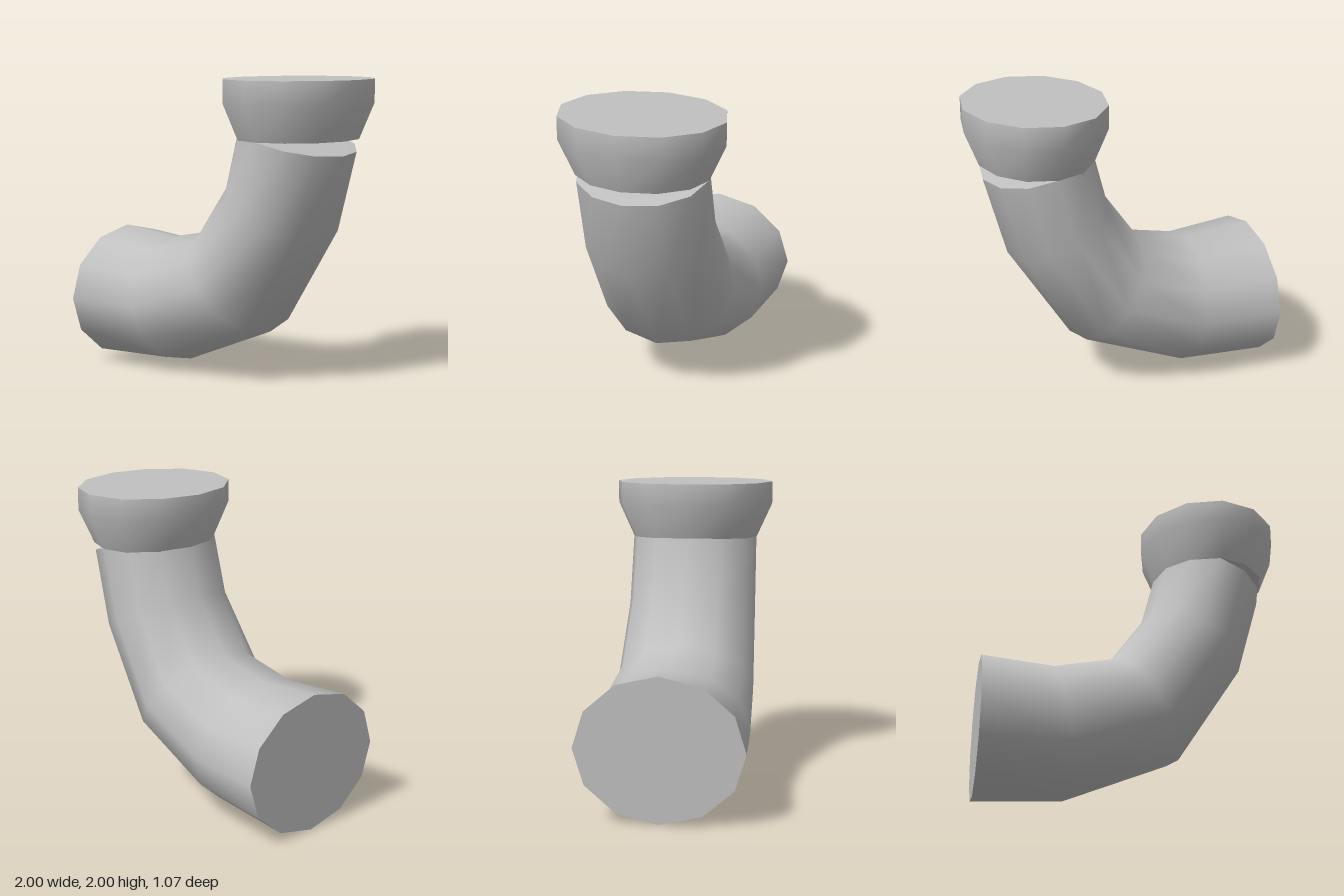
import * as THREE from 'three';

const SIDES = 12;

// Ring given by its outer, middle and inner points in the xy plane and its half depth in z
function ringPoints({ outer, inner, mid, depth }) {
  const m = mid ?? [(outer[0] + inner[0]) / 2, (outer[1] + inner[1]) / 2];
  const points = [];
  for (let k = 0; k < SIDES; k++) {
    const t = (k / SIDES) * Math.PI * 2;
    const c = Math.cos(t);
    const end = c > 0 ? outer : inner;
    points.push([
      m[0] + Math.abs(c) * (end[0] - m[0]),
      m[1] + Math.abs(c) * (end[1] - m[1]),
      depth * Math.sin(t),
    ]);
  }
  return { points, centre: [m[0], m[1], 0] };
}

function makeMesh(name, positions, index, material) {
  const geometry = new THREE.BufferGeometry();
  geometry.setAttribute('position', new THREE.Float32BufferAttribute(positions.flat(), 3));
  geometry.setIndex(index);
  geometry.computeVertexNormals();
  const mesh = new THREE.Mesh(geometry, material);
  mesh.name = name;
  return mesh;
}

// Smooth wall through the rings, closed by a separate cap at each end
function loft(name, specs, material) {
  const rings = specs.map(ringPoints);
  const group = new THREE.Group();
  group.name = name;

  const wall = [];
  for (let r = 0; r < rings.length - 1; r++) {
    for (let k = 0; k < SIDES; k++) {
      const n = (k + 1) % SIDES;
      const a = r * SIDES + k, b = r * SIDES + n;
      const c = a + SIDES, d = b + SIDES;
      wall.push(a, c, b, b, c, d);
    }
  }
  group.add(makeMesh(name + 'Wall', rings.flatMap((r) => r.points), wall, material));

  const cap = (capName, ring, flip) => {
    const index = [];
    for (let k = 0; k < SIDES; k++) {
      const a = k + 1, b = ((k + 1) % SIDES) + 1;
      index.push(0, flip ? b : a, flip ? a : b);
    }
    group.add(makeMesh(capName, [ring.centre, ...ring.points], index, material));
  };
  cap(name + 'StartCap', rings[0], false);
  cap(name + 'EndCap', rings[rings.length - 1], true);
  return group;
}

export function createModel() {
  const grey = new THREE.MeshStandardMaterial({ color: 0xc0c0c0 });
  grey.name = 'grey';
  const model = new THREE.Group();
  model.name = 'pipeElbow';

  // Bent pipe, tapering from the side opening up to the collar
  model.add(loft('bentPipe', [
    { outer: [-1, 0.005], inner: [-1, 0.925], depth: 0.535 },
    { outer: [-0.39, 0.04], inner: [-0.54, 0.885], depth: 0.5 },
    { outer: [0.32, 0.335], inner: [-0.17, 0.96], depth: 0.463 },
    { outer: [0.745, 1.0], inner: [0.08, 1.31], depth: 0.437 },
    { outer: [0.89, 1.525], inner: [0.165, 1.635], mid: [0.54, 1.62], depth: 0.43 },
  ], grey));

  // Flared collar on top
  const level = (y, s) => ({ outer: [0.54 + 0.46 * s, y], inner: [0.54 - 0.46 * s, y], depth: 0.537 * s });
  model.add(loft('collar', [level(1.62, 0.804), level(1.85, 1), level(2, 1)], grey));

  return model;
}
